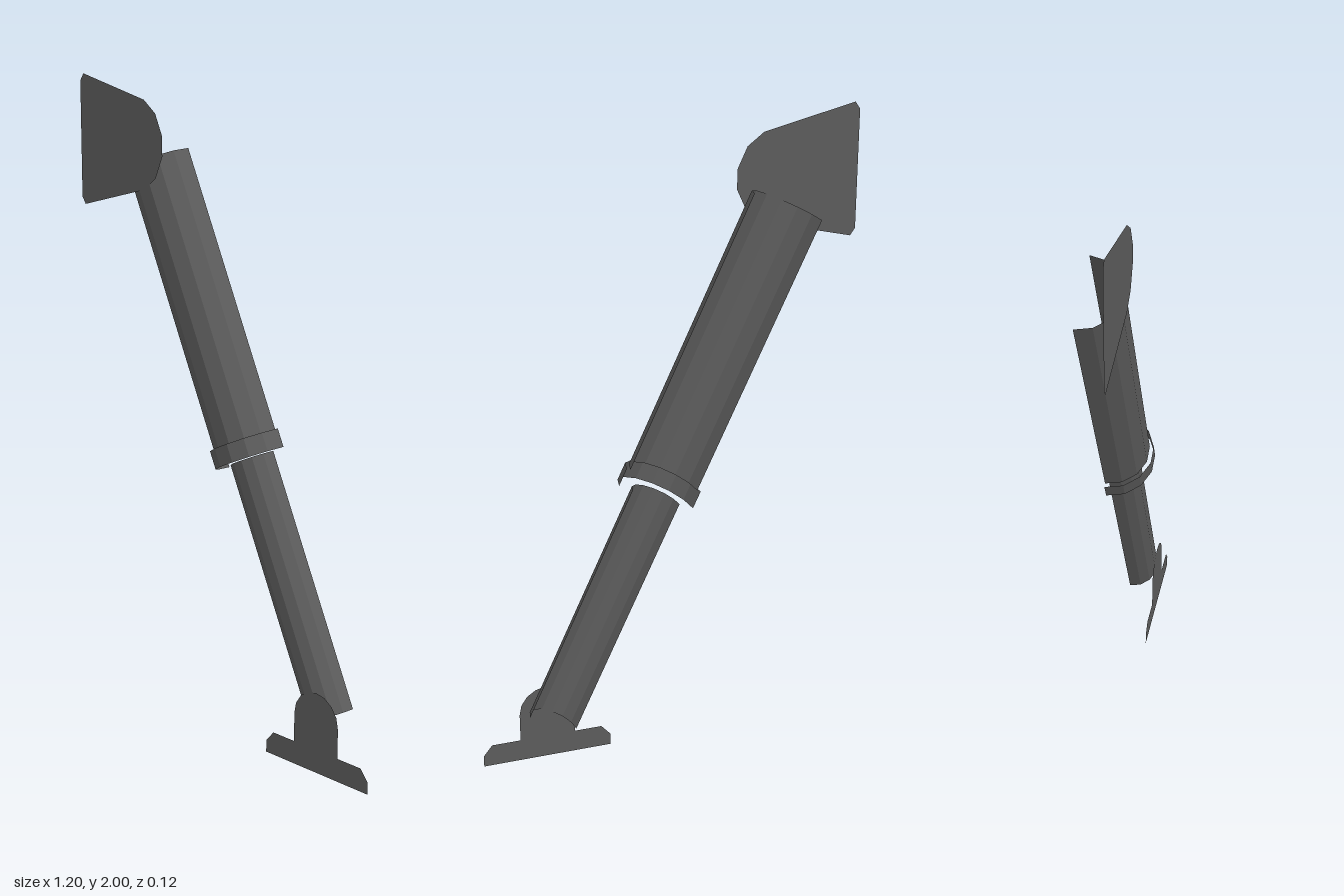
import * as THREE from 'three';

const BACK = -0.062; // open rear plane of every half tube
const TILT = THREE.MathUtils.degToRad(25);

const gunmetal = new THREE.MeshStandardMaterial({ color: 0x5c5c5c, flatShading: true, side: THREE.DoubleSide });
gunmetal.name = 'dark grey metal';

// Open half cylinder, bulging forward, between two points on the leaning axis
function halfTube(name, radius, [x0, y0], [x1, y1]) {
  const length = Math.hypot(x1 - x0, y1 - y0);
  const geometry = new THREE.CylinderGeometry(radius, radius, length, 7, 1, true, -Math.PI / 2, Math.PI);
  const mesh = new THREE.Mesh(geometry, gunmetal);
  mesh.name = name;
  mesh.position.set((x0 + x1) / 2, (y0 + y1) / 2, BACK);
  mesh.rotation.z = TILT;
  return mesh;
}

// Flat sheet cut to an outline, facing forward
function plate(name, points, z) {
  const shape = new THREE.Shape(points.map(([x, y]) => new THREE.Vector2(x, y)));
  const mesh = new THREE.Mesh(new THREE.ShapeGeometry(shape), gunmetal);
  mesh.name = name;
  mesh.position.z = z;
  return mesh;
}

export function createModel() {
  const strut = new THREE.Group();
  strut.name = 'strut';

  // Telescoping tubes and the collar between them
  strut.add(
    halfTube('upperTube', 0.115, [-0.34, 1.74], [0.034, 0.938]),
    halfTube('collar', 0.127, [0.034, 0.938], [0.058, 0.886]),
    halfTube('lowerTube', 0.08, [0.058, 0.886], [0.394, 0.166])
  );

  // Upper bracket, mirrored about y = 1.8
  const half = [[-0.225, 0.03], [-0.255, 0.095], [-0.305, 0.133], [-0.585, 0.2], [-0.6, 0.178]];
  const bracket = [
    ...half.map(([x, y]) => [x, 1.8 + y]),
    ...half.map(([x, y]) => [x, 1.8 - y]).reverse()
  ];
  strut.add(plate('upperBracket', bracket, 0.052));

  // Foot with a round-topped neck
  const foot = [[0.188, 0], [0.6, 0], [0.6, 0.037], [0.572, 0.072], [0.481, 0.072]];
  for (let i = 0; i <= 8; i++) {
    const a = (i / 8) * Math.PI;
    foot.push([0.393 + 0.088 * Math.cos(a), 0.163 + 0.088 * Math.sin(a)]);
  }
  foot.push([0.305, 0.072], [0.218, 0.072], [0.188, 0.037]);
  strut.add(plate('footPlate', foot, 0.018));

  return strut;
}
